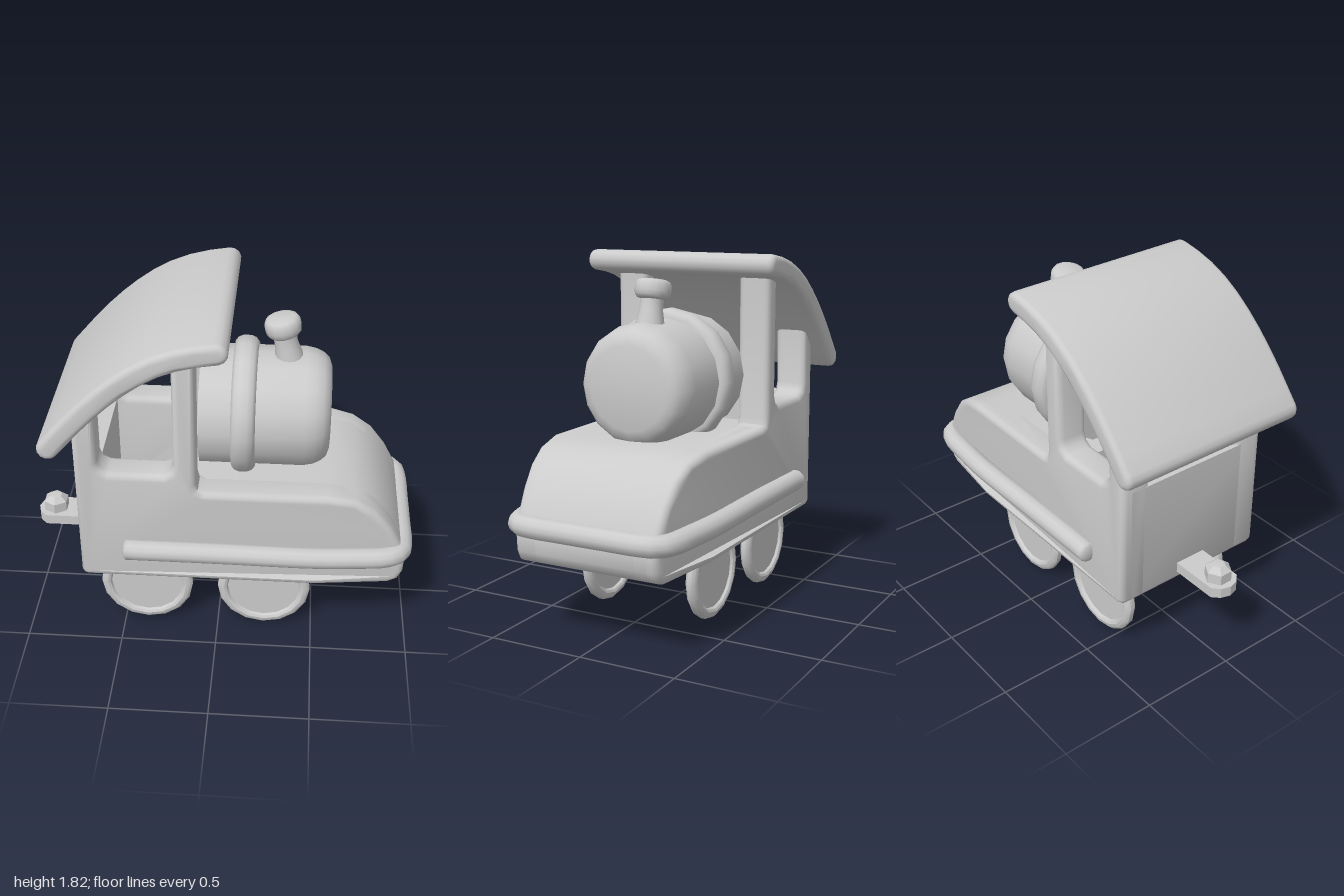
import * as THREE from 'three';
import { toCreasedNormals } from 'three/addons/utils/BufferGeometryUtils.js';

const material = new THREE.MeshStandardMaterial({ color: 0xcccccc });
const V2 = (p) => new THREE.Vector2(p[0], p[1]);

function add(parent, name, geometry, crease = 0.8) {
  const mesh = new THREE.Mesh(toCreasedNormals(geometry, crease), material);
  mesh.name = name;
  parent.add(mesh);
  return mesh;
}

// Side outline extruded between two z values, with optional rounded edges
function slab(points, z0, z1, bevel = 0) {
  const g = new THREE.ExtrudeGeometry(new THREE.Shape(points.map(V2)), {
    depth: z1 - z0 - 2 * bevel, bevelEnabled: bevel > 0, bevelSize: bevel,
    bevelThickness: bevel, bevelOffset: -bevel, bevelSegments: 4,
  });
  return g.translate(0, 0, z0 + bevel);
}

// Narrows the body towards the nose
function taper(g) {
  const p = g.attributes.position;
  for (let i = 0; i < p.count; i++) {
    const t = THREE.MathUtils.clamp((p.getX(i) - 0.5) / 0.45, 0, 1);
    p.setZ(i, p.getZ(i) * (1 - 0.12 * t));
  }
  return g;
}

// Profile of [radius, height] turned round y
const lathe = (points, sides) => new THREE.LatheGeometry(points.map(V2), sides);

export function createModel() {
  const model = new THREE.Group();
  model.name = 'toyLocomotive';

  // Body: two thick side walls with the cab posts, joined by hood and back wall
  const nose = [[0.88, 0.38], [0.93, 0.4], [0.955, 0.45], [0.96, 0.54], [0.93, 0.63],
    [0.87, 0.74], [0.79, 0.84], [0.69, 0.905], [0.55, 0.935]];
  const side = [[-0.67, 0.38], [0.5, 0.38], ...nose, [-0.06, 0.935], [-0.09, 0.945], [-0.1, 0.98],
    [-0.1, 1.72], [-0.21, 1.69], [-0.21, 1.09], [-0.225, 1.05], [-0.26, 1.03],
    [-0.53, 1.03], [-0.57, 1.05], [-0.585, 1.09], [-0.585, 1.43], [-0.7, 1.31],
    [-0.7, 0.41], [-0.69, 0.39]];
  add(model, 'leftBodySide', taper(slab(side, 0.27, 0.44, 0.035)));
  add(model, 'rightBodySide', taper(slab(side, -0.44, -0.27, 0.035)));
  const hood = [...nose, [-0.1, 0.935], [-0.21, 0.935], [-0.21, 0.55], [-0.12, 0.55],
    [-0.12, 0.82], [0.52, 0.82], [0.65, 0.76], [0.73, 0.65], [0.73, 0.38]];
  add(model, 'hood', taper(slab(hood, -0.38, 0.38)));
  const back = [[-0.67, 0.38], [-0.585, 0.38], [-0.585, 1.03], [-0.7, 1.03], [-0.7, 0.41], [-0.69, 0.39]];
  add(model, 'cabBackWall', slab(back, -0.38, 0.38));

  // Curved roof: an arc thickened to a band with round ends
  const arc = new THREE.CatmullRomCurve3([[-0.8, 1.215], [-0.63, 1.41], [-0.47, 1.56],
    [-0.31, 1.67], [-0.15, 1.735], [0.01, 1.765]].map(([x, y]) => new THREE.Vector3(x, y, 0)));
  const upper = [], lower = [], rearEnd = [], frontEnd = [];
  const r = 0.054, n = 10;
  const around = (p, a) => [p.x + r * Math.cos(a), p.y + r * Math.sin(a)];
  for (let i = 0; i <= n; i++) {
    const p = arc.getPointAt(i / n), t = arc.getTangentAt(i / n);
    const a = Math.atan2(t.y, t.x);
    lower.push(around(p, a - Math.PI / 2));
    upper.unshift(around(p, a + Math.PI / 2));
    for (let k = 1; k < 6; k++) {
      if (i === n) frontEnd.push(around(p, a - Math.PI / 2 + k * Math.PI / 6));
      if (i === 0) rearEnd.push(around(p, a + Math.PI / 2 + k * Math.PI / 6));
    }
  }
  add(model, 'roof', slab([...lower, ...frontEnd, ...upper, ...rearEnd], -0.53, 0.53, 0.03));

  // Boiler and its band, lying along x
  const boiler = add(model, 'boiler', lathe([[0, -0.1], [0.305, -0.1], [0.305, 0.42], [0.295, 0.47],
    [0.275, 0.51], [0.25, 0.535], [0.21, 0.548], [0, 0.55]], 16), 0.9);
  const band = add(model, 'boilerBand', lathe([[0.29, 0.06], [0.32, 0.06], [0.34, 0.075], [0.35, 0.1],
    [0.35, 0.14], [0.34, 0.165], [0.32, 0.18], [0.29, 0.18]], 16), 0.9);
  for (const m of [boiler, band]) {
    m.rotation.z = -Math.PI / 2;
    m.position.y = 1.195;
  }

  // Leaning chimney with a rounded cap
  const chimney = add(model, 'chimney', lathe([[0.075, -0.06], [0.07, 0.02], [0.058, 0.08], [0.058, 0.13],
    [0.075, 0.135], [0.087, 0.15], [0.09, 0.17], [0.09, 0.2], [0.08, 0.22], [0.065, 0.226], [0, 0.226]], 14), 0.9);
  chimney.position.set(0.332, 1.475, 0);
  chimney.rotation.z = 0.2;

  // Bumper rail wrapping round the nose, with rounded tips
  const half = [[-0.455, 0.455], [0.05, 0.455], [0.5, 0.453], [0.7, 0.437], [0.86, 0.415],
    [0.925, 0.375], [0.943, 0.3], [0.945, 0.1]];
  const path = [...half, ...half.slice().reverse().map(([x, z]) => [x, -z])]
    .map(([x, z]) => new THREE.Vector3(x, 0.58 - 0.008 * Math.max(0, x), z));
  const rail = new THREE.Group();
  rail.name = 'bumperRail';
  model.add(rail);
  add(rail, 'railBar', new THREE.TubeGeometry(new THREE.CatmullRomCurve3(path, false, 'centripetal'), 80, 0.054, 12));
  for (const s of [1, -1]) {
    const tip = add(rail, 'railTip', new THREE.SphereGeometry(0.054, 12, 8));
    tip.scale.x = 0.35;
    tip.position.set(-0.455, 0.58, s * 0.455);
  }

  // Wheels with raised rims, joined in pairs by axles
  const wheel = [[0, -0.012], [0.19, -0.012], [0.197, -0.024], [0.21, -0.03], [0.23, -0.026], [0.244, -0.012],
    [0.244, 0.012], [0.23, 0.026], [0.21, 0.03], [0.197, 0.024], [0.19, 0.012], [0, 0.012]];
  for (const [name, x] of [['rearWheels', -0.378], ['frontWheels', 0.243]]) {
    const pair = new THREE.Group();
    pair.name = name;
    pair.position.set(x, 0.247, 0);
    pair.rotation.x = Math.PI / 2;
    for (const s of [1, -1]) add(pair, 'wheel', lathe(wheel, 16), 0.6).position.y = s * 0.3;
    add(pair, 'axle', new THREE.CylinderGeometry(0.026, 0.026, 0.6, 10));
    model.add(pair);
  }

  // Rear coupling: plate with a chamfered end and a hexagonal pin
  const plate = slab([[-0.65, -0.085], [-0.65, 0.085], [-0.95, 0.085], [-0.985, 0.05], [-1, 0],
    [-0.985, -0.05], [-0.95, -0.085]].reverse(), 0, 0.055);
  plate.rotateX(-Math.PI / 2).translate(0, 0.43, 0);
  add(model, 'couplingPlate', plate, 0.3);
  const pin = add(model, 'couplingPin', lathe([[0.068, 0], [0.068, 0.06], [0.035, 0.088], [0, 0.092]], 6), 0.3);
  pin.position.set(-0.905, 0.48, 0);

  return model;
}
